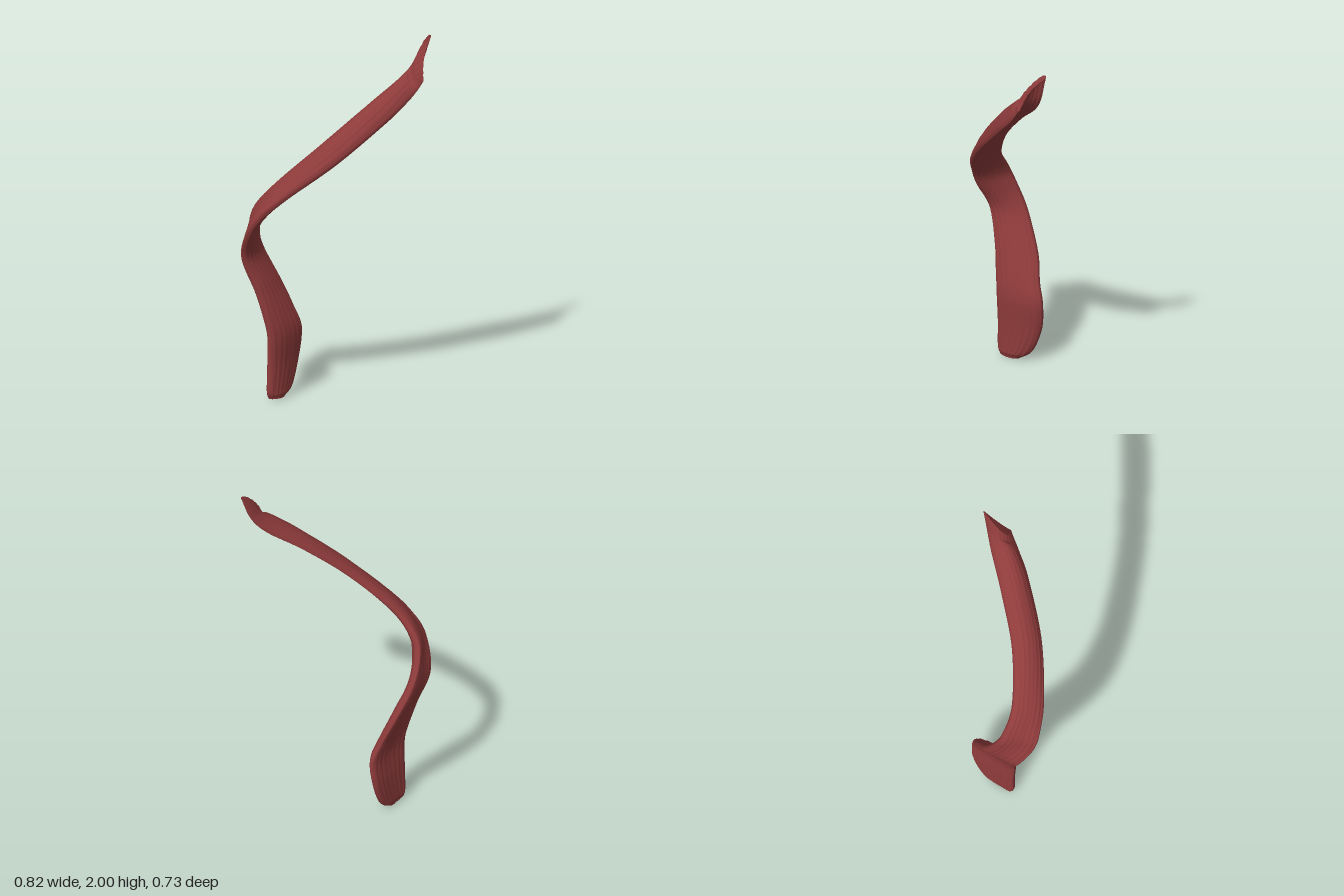
import * as THREE from 'three';

// paired points along the two long edges of the twisted strip, bottom to top
const FRONT_EDGE = [
  [-0.27, 0.012, 0.2], [-0.27, 0.06, 0.215], [-0.267, 0.2, 0.214], [-0.264, 0.36, 0.219],
  [-0.284, 0.48, 0.234], [-0.318, 0.62, 0.257], [-0.362, 0.8, 0.308], [-0.3, 0.95, 0.357],
  [-0.232, 1.055, 0.352], [-0.105, 1.18, 0.297], [0.112, 1.372, 0.145], [0.295, 1.585, -0.047],
  [0.362, 1.685, -0.14], [0.392, 1.74, -0.186], [0.412, 1.788, -0.22],
];
const BACK_EDGE = [
  [-0.265, 0.003, 0.09], [-0.265, 0.06, 0.015], [-0.262, 0.2, -0.04], [-0.25, 0.35, -0.05],
  [-0.278, 0.46, -0.02], [-0.332, 0.6, 0.015], [-0.39, 0.8, 0.1], [-0.392, 0.95, 0.165],
  [-0.354, 1.06, 0.195], [-0.235, 1.2, 0.182], [-0.035, 1.415, 0.062], [0.135, 1.61, -0.105],
  [0.262, 1.745, -0.245], [0.328, 1.85, -0.315], [0.364, 2.0, -0.36],
];
const ROWS = 180;
const SIDES = 96;

const edgeCurve = (pts) =>
  new THREE.CatmullRomCurve3(pts.map((p) => new THREE.Vector3(...p)), false, 'catmullrom', 0.5);
const softPow = (v, e) => Math.sign(v) * Math.abs(v) ** e;

function stripGeometry() {
  const front = edgeCurve(FRONT_EDGE), back = edgeCurve(BACK_EDGE);
  const middle = (t) => front.getPoint(t).add(back.getPoint(t)).multiplyScalar(0.5);
  const positions = [], index = [];

  // one rounded, bowed and grooved cross-section per row
  for (let j = 0; j <= ROWS; j++) {
    const t = j / ROWS;
    const centre = middle(t);
    const half = front.getPoint(t).sub(back.getPoint(t)).multiplyScalar(0.5);
    const along = middle(Math.min(1, t + 0.004)).sub(middle(Math.max(0, t - 0.004))).normalize();
    const normal = half.clone().cross(along).normalize();
    const taper = 0.75 + 0.25 * THREE.MathUtils.smoothstep(t, 0, 0.05) - 0.3 * THREE.MathUtils.smoothstep(t, 0.85, 1);
    const thick = 0.029 * taper;
    const bow = taper * THREE.MathUtils.lerp(-0.012, 0.048, THREE.MathUtils.smoothstep(t, 0.5, 0.85));
    const notch = 0.05 * THREE.MathUtils.smoothstep(t, 0.9, 1);
    for (let i = 0; i < SIDES; i++) {
      const a = (i / SIDES) * Math.PI * 2;
      const u = softPow(Math.cos(a), 0.8), v = softPow(Math.sin(a), 0.65);
      const groove = 0.0014 * Math.sin(23 * u + 2 * Math.sin(9 * t) + v)
        + 0.001 * Math.sin(41 * u + 3 * Math.sin(14 * t + 1));
      const p = centre.clone()
        .addScaledVector(half, u)
        .addScaledVector(normal, v * (thick + groove) + bow * (1 - u * u))
        .addScaledVector(along, -notch * (1 - u * u) * (0.5 + 0.5 * v));
      positions.push(p.x, p.y, p.z);
    }
  }
  for (let j = 0; j < ROWS; j++) {
    for (let i = 0; i < SIDES; i++) {
      const a = j * SIDES + i, b = j * SIDES + ((i + 1) % SIDES);
      index.push(a, a + SIDES, b, b, a + SIDES, b + SIDES);
    }
  }

  // end caps, with their own vertices so that the rims stay sharp
  for (const [row, top] of [[0, false], [ROWS, true]]) {
    const start = positions.length / 3;
    positions.push(...positions.slice(row * SIDES * 3, (row + 1) * SIDES * 3));
    for (let i = 0; i < SIDES / 2; i++) {
      const [a, b, c, d] = [i, i + 1, SIDES - i - 1, (SIDES - i) % SIDES].map((k) => start + k);
      if (top) index.push(a, c, b, a, d, c);
      else index.push(a, b, c, a, c, d);
    }
  }

  const geometry = new THREE.BufferGeometry();
  geometry.setAttribute('position', new THREE.Float32BufferAttribute(positions, 3));
  geometry.setIndex(index);
  geometry.computeVertexNormals();
  return geometry;
}

export function createModel() {
  const group = new THREE.Group();
  group.name = 'twistedStrip';
  const strip = new THREE.Mesh(stripGeometry(), new THREE.MeshStandardMaterial({ color: 0x8f3b3b }));
  strip.name = 'fibrousStrip';
  group.add(strip);
  return group;
}
